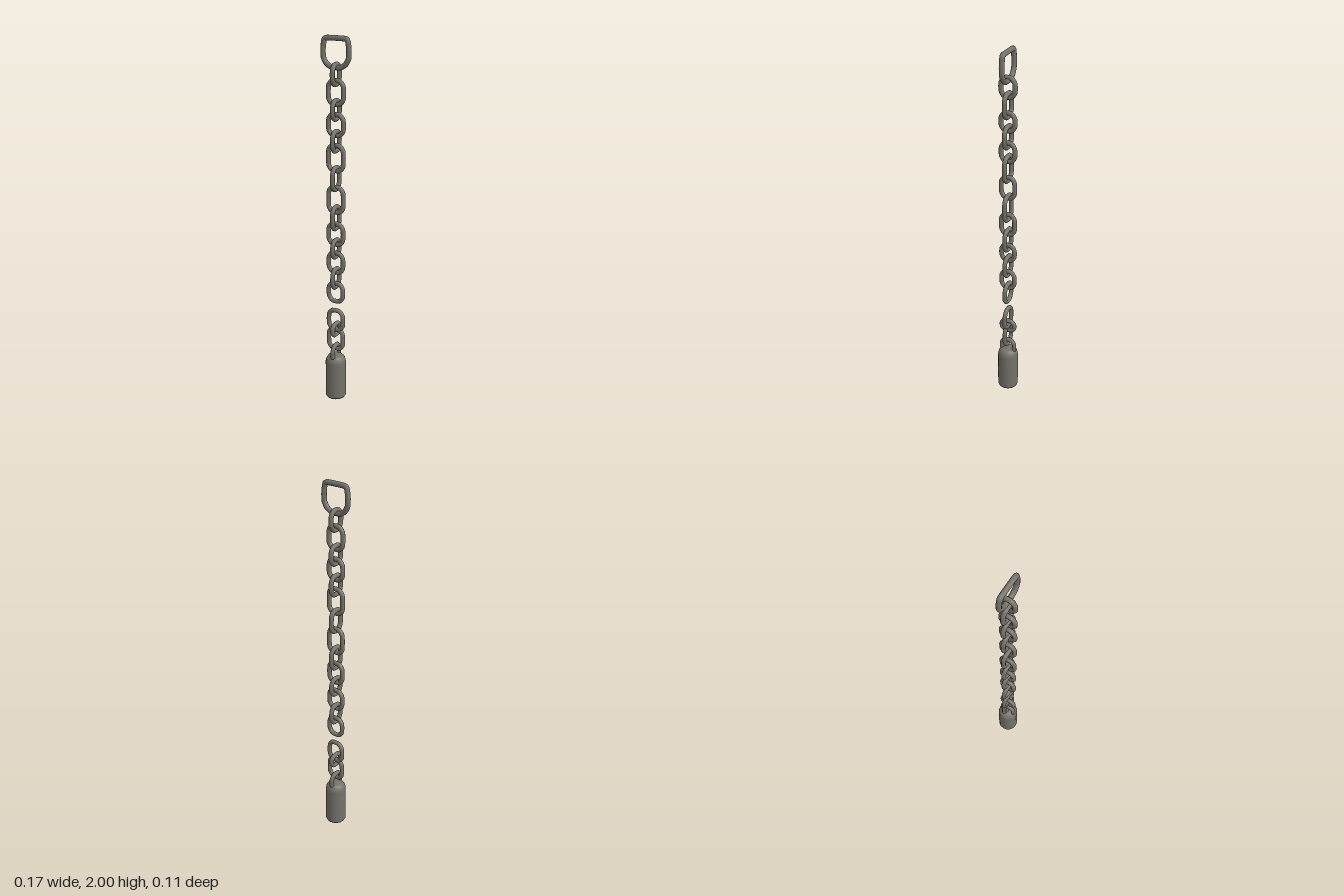
import * as THREE from 'three';

const steel = new THREE.MeshStandardMaterial({ color: 0x74726a, side: THREE.DoubleSide });
steel.name = 'dull steel';

// Closed round bar bent through a few points in the XY plane
function bentBar(name, points, radius, segments) {
  const path = new THREE.CatmullRomCurve3(
    points.map(([x, y]) => new THREE.Vector3(x, y, 0)), true, 'catmullrom', 0.3);
  const mesh = new THREE.Mesh(new THREE.TubeGeometry(path, segments, radius, 10, true), steel);
  mesh.name = name;
  return mesh;
}

// Chain link with straight sides and chamfered corners, given its outer top and bottom
function chainLink(name, top, bottom, width, sideways) {
  const r = 0.0125;
  const w = width / 2 - r;
  const h = (top - bottom) / 2 - r;
  const cx = w * 0.5;
  const cy = Math.max(h - 0.026, h * 0.45);
  const link = bentBar(name, [
    [-cx, h], [cx, h], [w, cy], [w, -cy],
    [cx, -h], [-cx, -h], [-w, -cy], [-w, cy],
  ], r, 40);
  link.position.y = (top + bottom) / 2;
  if (sideways) link.rotation.y = Math.PI / 2;
  return link;
}

export function createModel() {
  const model = new THREE.Group();
  model.name = 'chain';

  // D-shaped hanging ring at the top
  model.add(bentBar('hangingRing', [
    [-0.052, 1.986], [0.052, 1.986], [0.066, 1.974], [0.072, 1.93], [0.07, 1.89],
    [0.054, 1.862], [0.026, 1.845], [-0.026, 1.845], [-0.054, 1.862],
    [-0.07, 1.89], [-0.072, 1.93], [-0.066, 1.974],
  ], 0.0137, 64));

  // Links facing the front
  const frontLinks = [
    [1.79, 1.65], [1.62, 1.49], [1.46, 1.305], [1.237, 1.08], [1.037, 0.9],
    [0.872, 0.74], [0.697, 0.57], [0.535, 0.4], [0.425, 0.283],
  ];
  frontLinks.forEach(([t, b], i) => model.add(chainLink('frontLink' + (i + 1), t, b, 0.108, false)));

  // Links facing the side, with a gap where the chain is broken
  const sideLinks = [
    [1.87, 1.75], [1.69, 1.575], [1.532, 1.41], [1.343, 1.205], [1.13, 0.99],
    [0.945, 0.83], [0.78, 0.655], [0.455, 0.37], [0.325, 0.215],
  ];
  sideLinks.forEach(([t, b], i) => model.add(chainLink('sideLink' + (i + 1), t, b, 0.098, true)));

  // Hollow end weight with a rounded shoulder, open at the bottom
  const profile = [
    [0, 0.2], [0.049, 0.2], [0.049, 0.012], [0.053, 0], [0.057, 0.008],
    [0.057, 0.215], [0.053, 0.234], [0.044, 0.248], [0.032, 0.256], [0, 0.258],
  ].map(([x, y]) => new THREE.Vector2(x, y));
  const weight = new THREE.Mesh(new THREE.LatheGeometry(profile, 16), steel);
  weight.name = 'endWeight';
  model.add(weight);

  return model;
}
